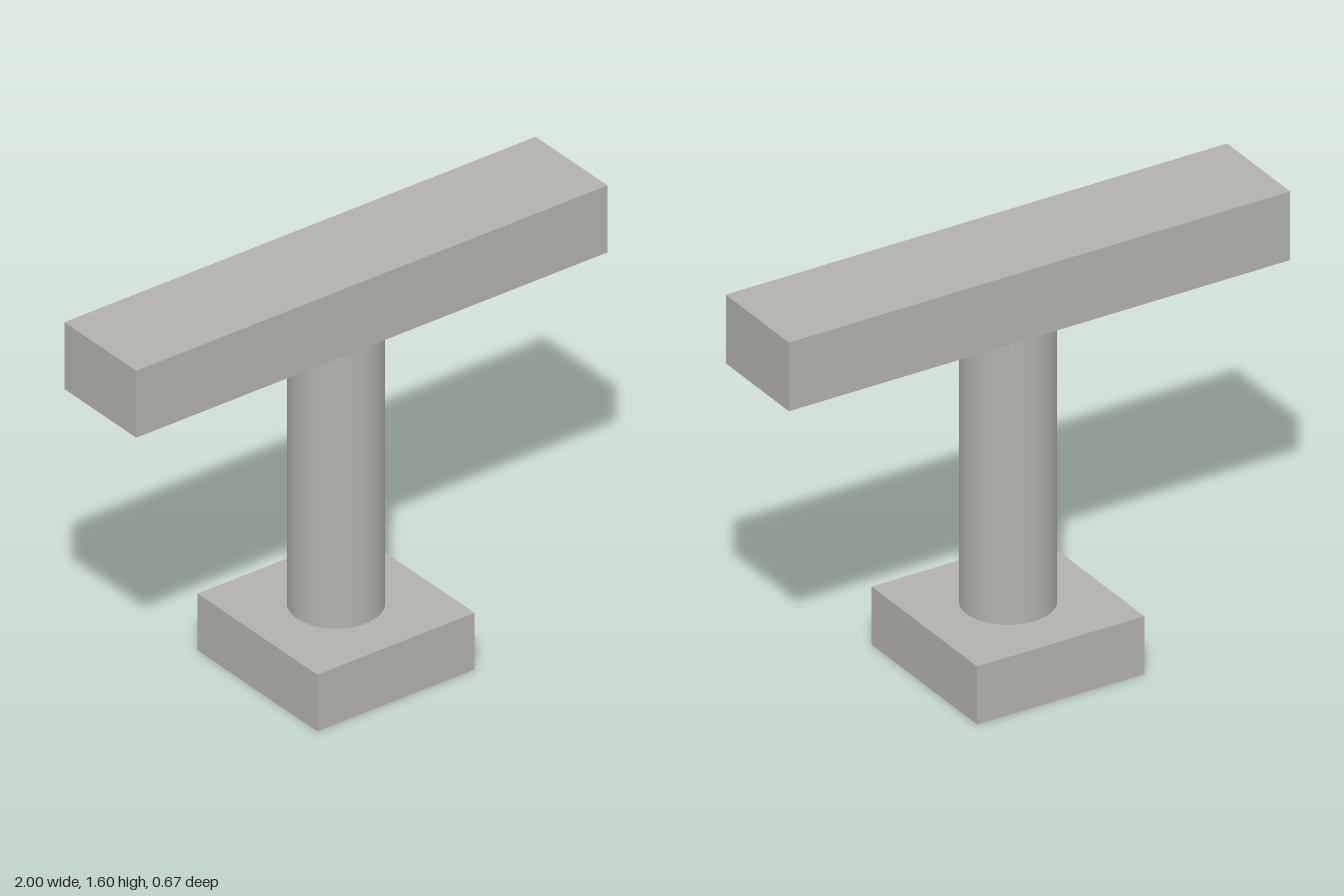
import * as THREE from 'three';

export function createModel() {
  const model = new THREE.Group();
  model.name = 'pedestalBeam';

  const stone = new THREE.MeshStandardMaterial({ color: 0xb4b2ad });
  stone.name = 'warm grey';

  // Adds a part resting with its underside at the given height
  const addPart = (name, geometry, bottom, height) => {
    const mesh = new THREE.Mesh(geometry, stone);
    mesh.name = name;
    mesh.position.y = bottom + height / 2;
    model.add(mesh);
  };

  const baseHeight = 0.223;
  const beamHeight = 0.264;
  const columnHeight = 1.6 - baseHeight - beamHeight;

  // Square foot, round column and long crossbeam, stacked
  addPart('base', new THREE.BoxGeometry(0.667, baseHeight, 0.667), 0, baseHeight);
  addPart('column', new THREE.CylinderGeometry(0.166, 0.166, columnHeight, 64), baseHeight, columnHeight);
  addPart('crossbeam', new THREE.BoxGeometry(2, beamHeight, 0.4), baseHeight + columnHeight, beamHeight);

  return model;
}
